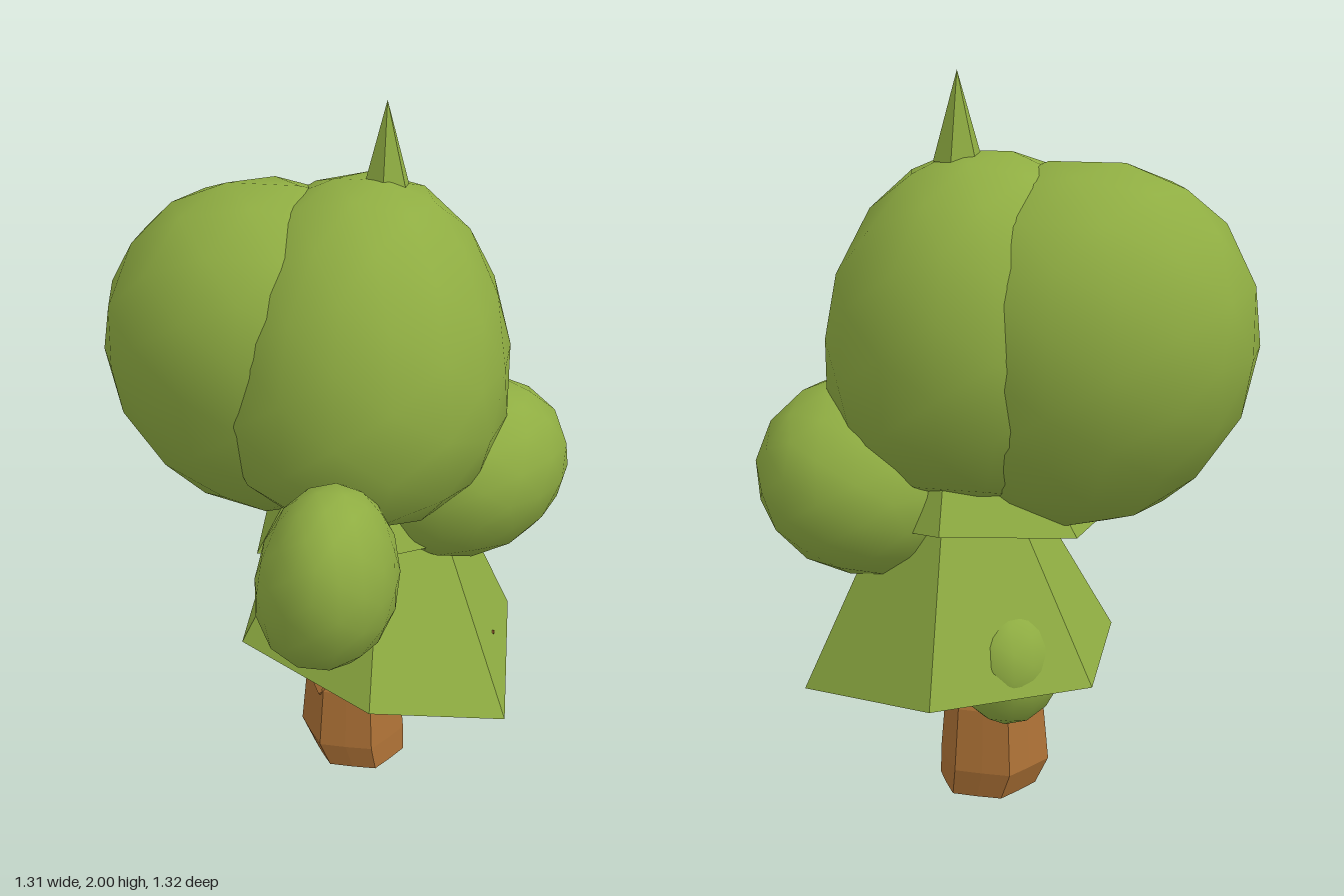
import * as THREE from 'three';
import { mergeVertices } from 'three/addons/utils/BufferGeometryUtils.js';

const leaf = new THREE.MeshStandardMaterial({ color: 0x8fad42 });
leaf.name = 'leaf green';
const bark = new THREE.MeshStandardMaterial({ color: 0xae7236 });
bark.name = 'bark brown';

// Gives every face its own normal.
function faceted(geometry) {
  const g = geometry.index ? geometry.toNonIndexed() : geometry;
  g.computeVertexNormals();
  return g;
}

function addMesh(group, name, geometry, material) {
  const mesh = new THREE.Mesh(geometry, material);
  mesh.name = name;
  group.add(mesh);
  return mesh;
}

// Smooth foliage lump: an ellipsoid that leans (shift per unit height),
// widens or narrows towards the top, and is turned about the vertical.
// A fullness over 2 swells it between its axes.
function foliage({ center, radii, lean = [0, 0], flare = 0, turn = 0, fullness = 2 }) {
  const base = new THREE.IcosahedronGeometry(1, 2);
  base.deleteAttribute('normal');
  base.deleteAttribute('uv');
  const g = mergeVertices(base, 1e-3);
  const p = g.attributes.position;
  const v = new THREE.Vector3();
  for (let i = 0; i < p.count; i++) {
    v.fromBufferAttribute(p, i);
    const sum = v.toArray().reduce((s, c) => s + Math.abs(c) ** fullness, 0);
    const { x, y, z } = v.divideScalar(sum ** (1 / fullness));
    const w = 1 + flare * y;
    p.setXYZ(i, x * radii[0] * w + lean[0] * y, y * radii[1], z * radii[2] * w + lean[1] * y);
  }
  g.rotateY(turn);
  g.translate(...center);
  g.computeVertexNormals();
  return g;
}

// Six-sided leaf skirt with an uneven rim, closed underneath.
function skirt(rim, apex) {
  const middle = [0, 1, 2].map(k => rim.reduce((sum, v) => sum + v[k], 0) / rim.length);
  const points = [];
  rim.forEach((a, i) => {
    const b = rim[(i + 1) % rim.length];
    points.push(...b, ...a, ...apex, ...middle, ...a, ...b);
  });
  const g = new THREE.BufferGeometry();
  g.setAttribute('position', new THREE.Float32BufferAttribute(points, 3));
  return faceted(g);
}

// Ridged trunk, lofted through rings of [height, radius, centre x].
function trunk() {
  const rings = [[0, 0.14, 0.075], [0.08, 0.158, 0.055], [0.26, 0.142, 0.055], [0.38, 0.085, 0.1], [0.65, 0.06, 0.1]];
  const g = new THREE.CylinderGeometry(1, 1, 1, 12, rings.length - 1);
  const p = g.attributes.position;
  for (let i = 0; i < p.count; i++) {
    const ring = rings[Math.round((p.getY(i) + 0.5) * (rings.length - 1))];
    const angle = Math.atan2(p.getZ(i), p.getX(i));
    const side = Math.round(angle / (Math.PI / 6));
    const onRim = Math.hypot(p.getX(i), p.getZ(i)) > 0.5 ? 1 : 0;
    const ridge = side % 2 !== 0 ? 0.88 : 1;
    const r = ring[1] * ridge * onRim;
    p.setXYZ(i, ring[2] + Math.cos(angle) * r, ring[0], -0.14 + Math.sin(angle) * r);
  }
  return faceted(g);
}

// Six-sided stick between two points.
function stick(from, to, r0, r1) {
  const a = new THREE.Vector3(...from), b = new THREE.Vector3(...to);
  const dir = b.clone().sub(a);
  const g = new THREE.CylinderGeometry(r1, r0, dir.length(), 6);
  g.applyQuaternion(new THREE.Quaternion().setFromUnitVectors(new THREE.Vector3(0, 1, 0), dir.normalize()));
  g.translate(...a.add(b).multiplyScalar(0.5).toArray());
  return faceted(g);
}

export function createModel() {
  const tree = new THREE.Group();
  tree.name = 'tree';

  // Wood
  addMesh(tree, 'trunk', trunk(), bark);
  addMesh(tree, 'lowBranch', stick([-0.03, 0.25, -0.07], [0.16, 0.39, -0.05], 0.045, 0.035), bark);
  addMesh(tree, 'frontTwig', stick([0.1, 0.64, 0.0], [0.1, 0.82, 0.28], 0.024, 0.02), bark);
  addMesh(tree, 'rightTwig', stick([0, 0.7, -0.08], [-0.13, 0.81, 0.03], 0.02, 0.014), bark);
  addMesh(tree, 'leftTwig', stick([0.3, 0.4, -0.2], [0.476, 0.41, -0.2], 0.01, 0.006), bark);

  // Pointed leaf layers
  addMesh(tree, 'lowerSkirt', skirt([
    [0.53, 0.235, 0], [0.16, 0.37, 0.24], [-0.25, 0.44, 0.03],
    [-0.28, 0.43, -0.41], [0.09, 0.43, -0.66], [0.5, 0.37, -0.46],
  ], [0.14, 1.25, -0.23]), leaf);
  addMesh(tree, 'upperSkirt', skirt([
    [0.36, 0.76, -0.1], [0.12, 0.79, 0.12], [-0.2, 0.74, 0.03],
    [-0.22, 0.81, -0.33], [0.1, 0.85, -0.52], [0.36, 0.82, -0.38],
  ], [0.13, 1.4, -0.22]), leaf);
  const tip = addMesh(tree, 'topSpike', faceted(new THREE.ConeGeometry(0.066, 0.23, 6)), leaf);
  tip.position.set(0.125, 1.885, -0.215);

  // Rounded foliage
  const lumps = {
    mainCrown: { center: [0.075, 1.325, -0.14], radii: [0.41, 0.475, 0.485], lean: [-0.01, -0.03], flare: -0.12, fullness: 2.2 },
    rightCrown: { center: [-0.195, 1.295, -0.175], radii: [0.47, 0.485, 0.43], lean: [-0.01, 0.01], flare: 0.06 },
    frontLump: { center: [0.07, 0.9, 0.405], radii: [0.187, 0.26, 0.255], lean: [0.015, 0.04], flare: -0.1, fullness: 2.1 },
    leftLump: { center: [0.367, 0.93, -0.262], radii: [0.285, 0.268, 0.325], lean: [0.03, 0], turn: -0.44 },
    lowLump: { center: [-0.045, 0.47, -0.345], radii: [0.145, 0.18, 0.19] },
  };
  for (const [name, shape] of Object.entries(lumps)) addMesh(tree, name, foliage(shape), leaf);

  return tree;
}
